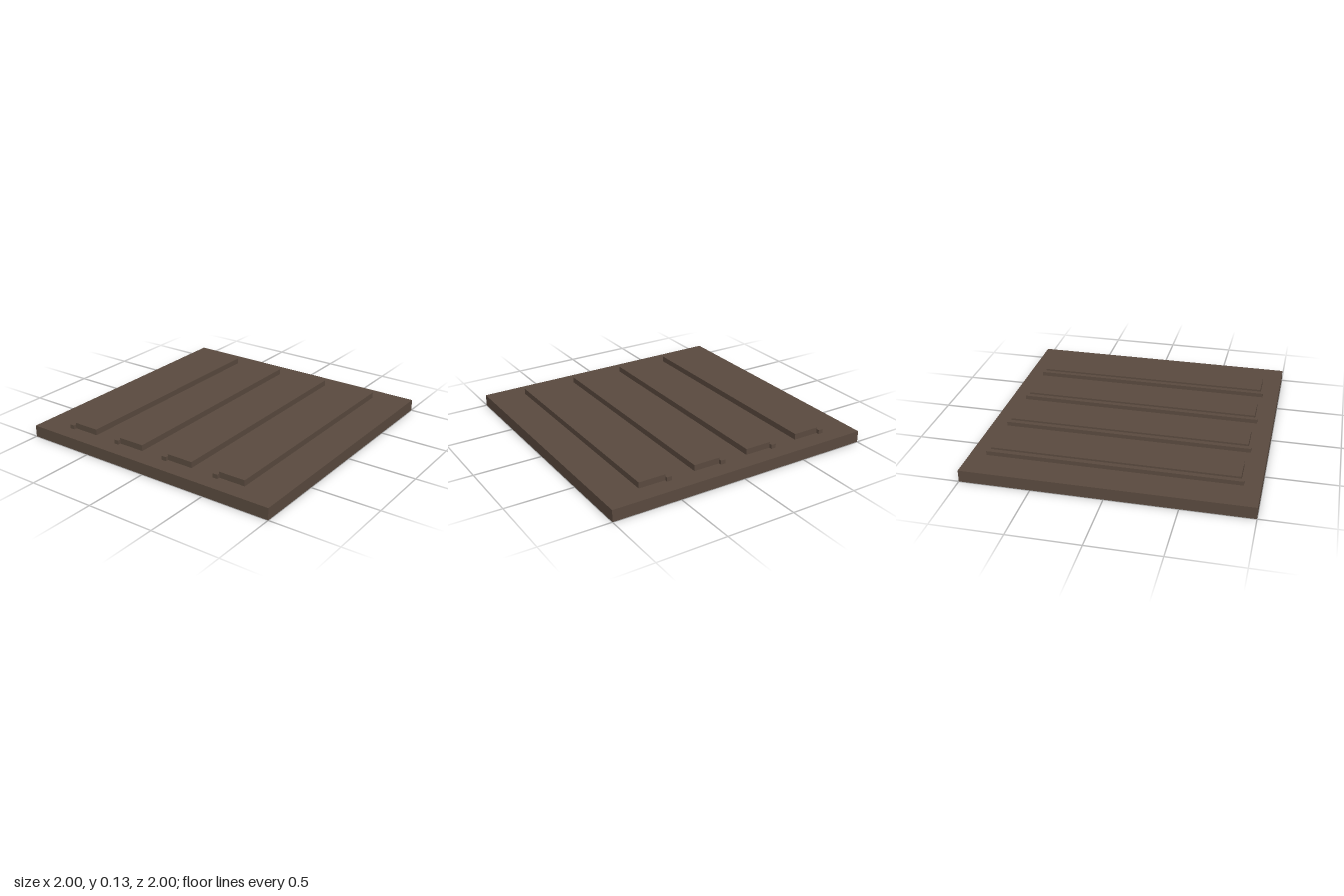
import * as THREE from 'three';

export function createModel() {
  const group = new THREE.Group();
  const brown = new THREE.MeshStandardMaterial({ color: 0x5a4a3f });
  brown.name = 'dark brown';

  // Box given by its centre x, bottom y and size
  function box(name, x, y, w, h, d) {
    const mesh = new THREE.Mesh(new THREE.BoxGeometry(w, h, d), brown);
    mesh.name = name;
    mesh.position.set(x, y + h / 2, 0);
    group.add(mesh);
  }

  const baseTop = 0.085;
  box('base', 0, 0, 2, baseTop, 2);

  // Four raised planks, each with a lower, longer strip along its right edge
  for (let i = 0; i < 4; i++) {
    const x = (i - 1.5) * 0.422;
    box('plank', x, baseTop, 0.198, 0.043, 1.726);
    box('edgeStrip', x - 0.116, baseTop, 0.036, 0.03, 1.77);
  }
  return group;
}
